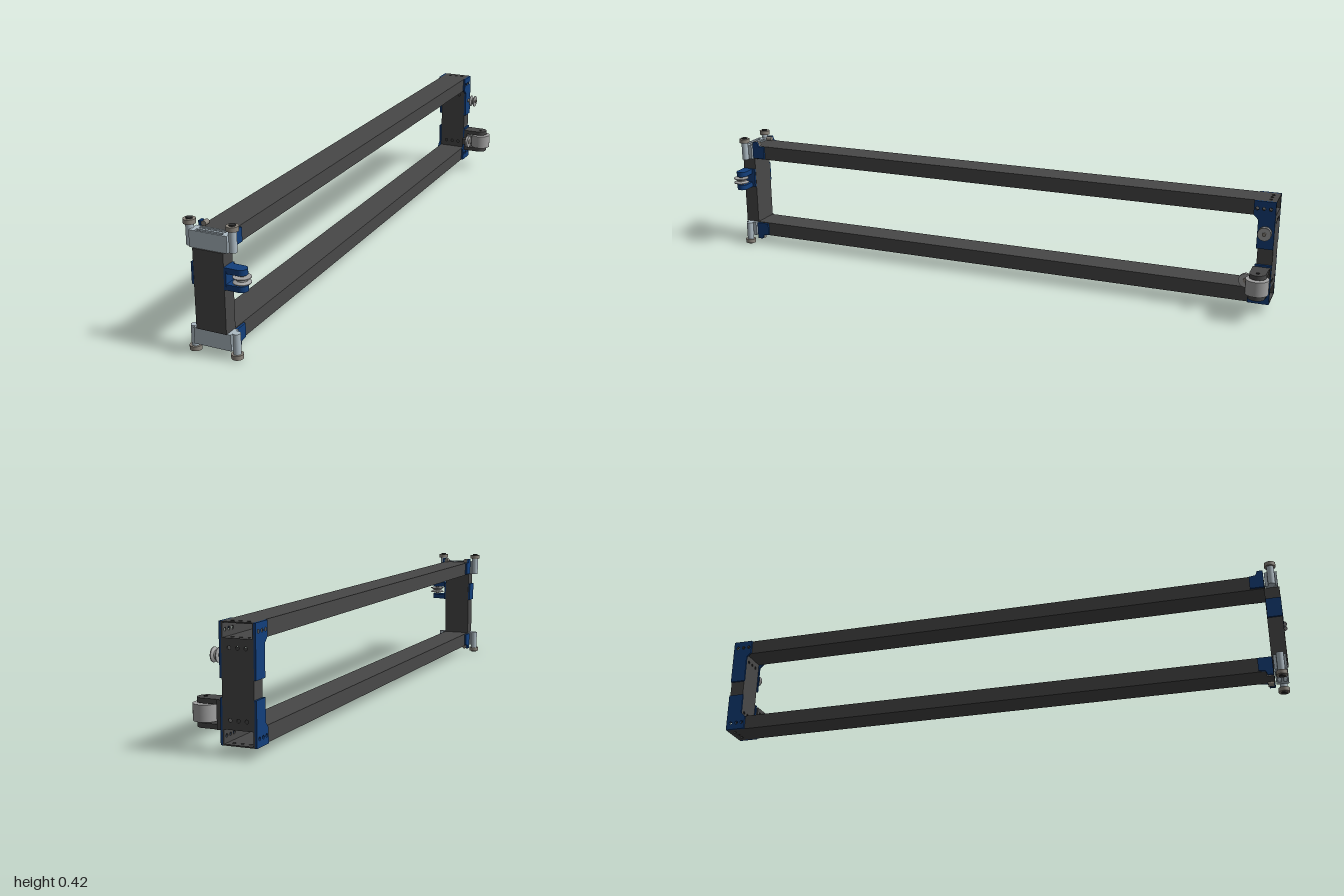
import * as THREE from 'three';

const mat = (color) => new THREE.MeshStandardMaterial({ color });
const dark = mat(0x484848), blue = mat(0x123f7c), light = mat(0xaebcc5),
  grey = mat(0xa2a2a2), brown = mat(0x8c867d), black = mat(0x303030);
const CX = -0.036, CY = 0.21, HALF = 0.05; // tube centre line and half width

export function createModel() {
  const root = new THREE.Group();
  root.name = 'rollerFrame';

  const add = (name, geo, m, x = 0, y = 0, z = 0) => {
    const mesh = new THREE.Mesh(geo, m);
    mesh.name = name;
    mesh.position.set(x, y, z);
    root.add(mesh);
    return mesh;
  };
  const box = (name, m, x0, x1, y0, y1, z0, z1) =>
    add(name, new THREE.BoxGeometry(x1 - x0, y1 - y0, z1 - z0), m,
      (x0 + x1) / 2, (y0 + y1) / 2, (z0 + z1) / 2);
  const cyl = (name, m, r, h, x, y, z, axis = 'y') => {
    const g = new THREE.CylinderGeometry(r, r, h, 32);
    if (axis === 'x') g.rotateZ(Math.PI / 2);
    if (axis === 'z') g.rotateX(Math.PI / 2);
    return add(name, g, m, x, y, z);
  };
  // Flat plate with round holes, centred on its thickness; plane is xy, zy or xz
  const plate = (name, m, plane, pts, t, at, holes = [], r = 0.0055) => {
    const s = pts instanceof THREE.Shape ? pts
      : new THREE.Shape(pts.map((p) => new THREE.Vector2(...p)));
    for (const [u, v] of holes) s.holes.push(new THREE.Path().absarc(u, v, r, 0, Math.PI * 2, true));
    const g = new THREE.ExtrudeGeometry(s, { depth: t, bevelEnabled: false, curveSegments: 16 });
    g.translate(0, 0, -t / 2);
    if (plane === 'zy') g.rotateY(-Math.PI / 2);
    if (plane === 'xz') g.rotateX(Math.PI / 2);
    const pos = { xy: [0, 0, at], zy: [at, 0, 0], xz: [0, at, 0] }[plane];
    return add(name, g, m, ...pos);
  };
  const rect = (a, b, c, d) => [[a, c], [b, c], [b, d], [a, d]];
  // Stadium outline pointing along +x, for fork arms
  const arm = (x0, x1, z, r) => {
    const s = new THREE.Shape();
    s.moveTo(x0, z - r);
    s.lineTo(x1 - r, z - r);
    s.absarc(x1 - r, z, r, -Math.PI / 2, Math.PI / 2, false);
    s.lineTo(x0, z + r);
    return s;
  };
  const pulley = (name, r, h, x, y, z, axis) => {
    const p = [[0.006, -h / 2], [r, -h / 2], [r, -h * 0.36], [r * 0.62, -h * 0.1],
      [r * 0.62, h * 0.1], [r, h * 0.36], [r, h / 2], [0.006, h / 2], [0.006, -h / 2]];
    // repeat corners so the rims stay sharp
    const pts = p.flatMap(([a, b]) => [new THREE.Vector2(a, b), new THREE.Vector2(a, b)]);
    const g = new THREE.LatheGeometry(pts, 32).toNonIndexed();
    g.computeVertexNormals();
    if (axis === 'x') g.rotateZ(Math.PI / 2);
    add(name, g, grey, x, y, z);
    cyl(name + 'Axle', brown, 0.0065, h * 1.5, x, y, z, axis);
  };

  const T = 0.004, xL = CX - HALF, xR = CX + HALF;
  const holeX = [-0.026, 0, 0.026].map((d) => CX + d);
  const holeZ = [-0.941, -0.962, -0.984];

  // Long beams: open tubes with bolt holes at the back end
  for (const s of [1, -1]) {
    const Y = (d) => CY + s * d;
    const yc = Y(0.15);
    for (const [d, n] of [[0.175 - T / 2, 'beamOuterWall'], [0.125 + T / 2, 'beamInnerWall']])
      plate(n, dark, 'xz', rect(xL, xR, -1, 0.937), T, Y(d), holeX.map((x) => [x, -0.978]));
    for (const x of [xL + T / 2, xR - T / 2])
      plate('beamSideWall', dark, 'zy', rect(-1, 0.937, yc - 0.025, yc + 0.025), T, x,
        holeZ.map((z) => [z, yc]));

    // Corner gussets on both sides of the beams
    for (const side of [-1, 1]) {
      const x = CX + side * (HALF + 0.0035);
      const end = s > 0 ? 0.015 : -0.04;
      plate('backGusset', blue, 'zy', [[-1, Y(0.175)], [-0.93, Y(0.175)], [-0.93, Y(0.128)],
        [-0.946, Y(0.112)], [-0.946, Y(Math.abs(end))], [-1, Y(Math.abs(end))]], 0.007, x,
      holeZ.map((z) => [z, yc]));
      plate('frontGusset', blue, 'zy', [[0.937, Y(0.128)], [0.89, Y(0.128)], [0.89, Y(0.172)],
        [0.912, Y(0.175)], [0.918, Y(0.19)], [0.937, Y(0.19)]], 0.007, x);
      cyl('gussetBolt', brown, 0.008, 0.02, CX + side * 0.042, Y(0.182), 0.924, 'z');
    }

    // Front bracket with two slots
    const slot = (a, b, c, d) => new THREE.Path(rect(a, b, c, d).reverse()
      .map((p) => new THREE.Vector2(...p)));
    const shape = new THREE.Shape(rect(-0.098, 0.026, 0.94, 0.981)
      .map((p) => new THREE.Vector2(...p)));
    shape.holes.push(slot(-0.08, 0.008, 0.946, 0.956), slot(-0.08, 0.008, 0.965, 0.975));
    plate('frontBracket', light, 'xz', shape, 0.052, Y(0.151));

    // Guide roller posts and caps
    for (const side of [-1, 1]) {
      const x = CX + side * 0.07;
      cyl('rollerPost', light, 0.012, 0.066, x, Y(0.158), 0.962);
      cyl('guideRoller', brown, 0.0185, 0.014, x, Y(0.197), 0.962);
      cyl('guideRollerBolt', black, 0.01, 0.004, x, Y(0.206), 0.962);
    }
  }

  // Upright tubes between the beams
  for (const [name, z0, z1] of [['frontColumn', 0.935, 0.985], ['backColumn', -1, -0.95]]) {
    const holes = name === 'backColumn'
      ? holeX.flatMap((x) => [[x, 0.312], [x, 0.108]]) : [];
    for (const z of [z0 + T / 2, z1 - T / 2])
      plate(name + 'Face', dark, 'xy', rect(xL, xR, 0.085, 0.335), T, z, holes);
    for (const x of [xL + T / 2, xR - T / 2])
      plate(name + 'Side', dark, 'zy', rect(z0, z1, 0.085, 0.335), T, x);
  }

  // Front pulley holder: side plates, fork arms and pulley
  for (const x of [xL - 0.003, xR + 0.0035])
    plate('pulleyPlate', blue, 'zy', rect(0.936, 0.986, 0.225, 0.293), 0.007, x);
  for (const y of [0.234, 0.2845])
    plate('pulleyArm', blue, 'xz', arm(xR, 0.079, 0.966, 0.019), 0.018, y);
  cyl('pulleyPin', brown, 0.005, 0.05, 0.063, 0.259, 0.968);
  pulley('frontPulley', 0.027, 0.019, 0.063, 0.26, 0.968, 'y');

  // Back side pulley on a horizontal pin
  cyl('backPulleyPin', brown, 0.006, 0.035, 0.034, 0.285, -0.973, 'x');
  pulley('backPulley', 0.022, 0.019, 0.044, 0.285, -0.973, 'x');

  // Large roller in its fork
  box('forkBase', dark, 0.021, 0.034, 0.077, 0.163, -0.997, -0.94);
  for (const y of [0.0845, 0.1555])
    plate('forkArm', dark, 'xz', arm(0.021, 0.109, -0.967, 0.027), 0.015, y);
  cyl('forkRoller', grey, 0.0375, 0.05, 0.085, 0.12, -0.967);
  cyl('forkRollerHub', brown, 0.014, 0.064, 0.085, 0.12, -0.967);
  cyl('forkRollerPin', black, 0.006, 0.09, 0.085, 0.12, -0.967);

  // Small disc beside the roller
  cyl('sideDisc', grey, 0.024, 0.01, 0.044, 0.12, -0.925, 'x');
  cyl('sideDiscHub', brown, 0.009, 0.014, 0.044, 0.12, -0.925, 'x');
  box('sideDiscMount', dark, 0.021, 0.04, 0.108, 0.132, -0.945, -0.915);
  return root;
}
